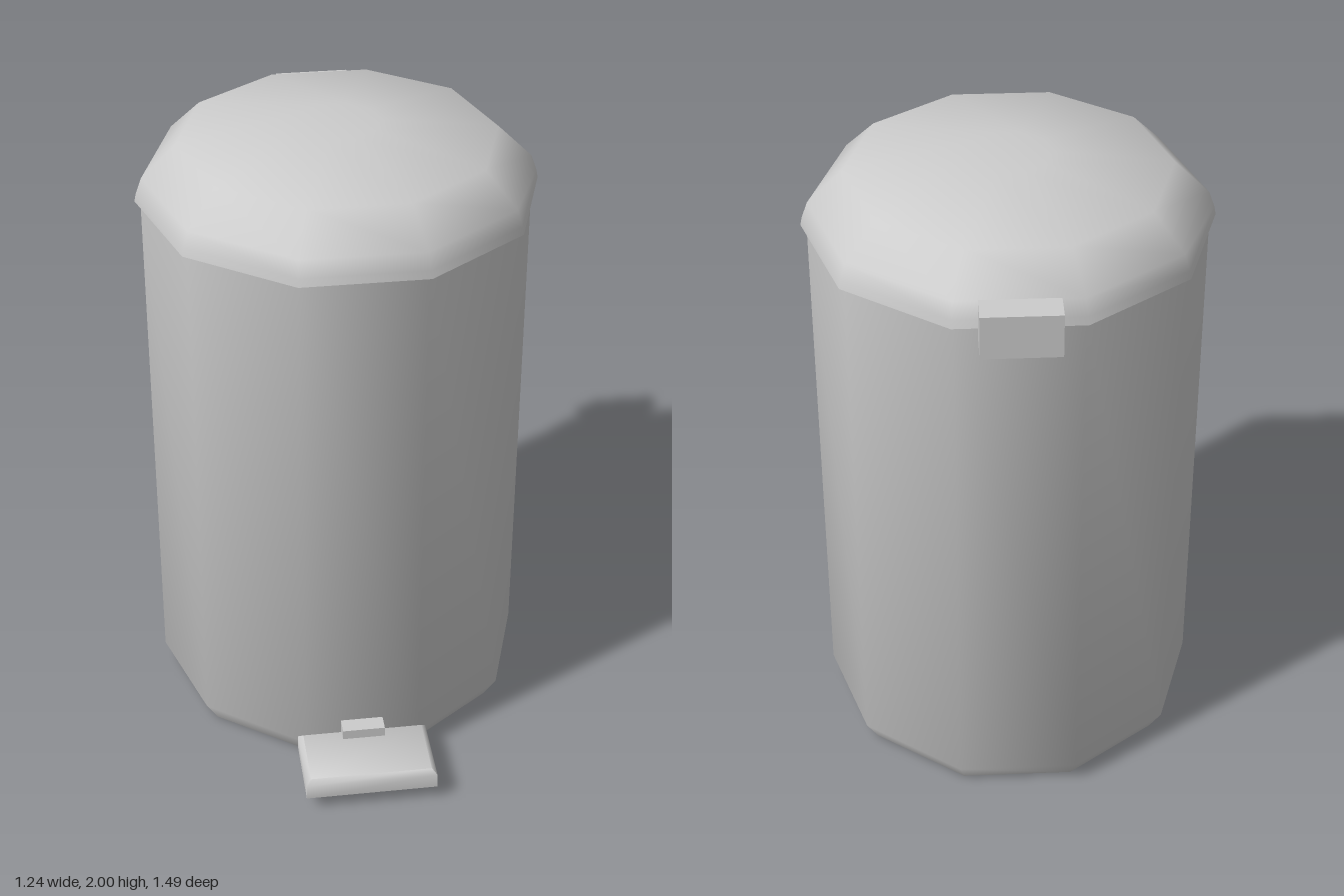
import * as THREE from 'three';
import { toCreasedNormals } from 'three/addons/utils/BufferGeometryUtils.js';

const SIDES = 10;
const AXIS_Z = -0.07; // the bin's axis sits a little behind the centre

export function createModel() {
  const model = new THREE.Group();
  model.name = 'pedalBin';
  const grey = new THREE.MeshStandardMaterial({ color: 0xcccccc });
  grey.name = 'light grey';

  function add(name, geometry, x, y, z) {
    const mesh = new THREE.Mesh(geometry, grey);
    mesh.name = name;
    mesh.position.set(x, y, z);
    model.add(mesh);
  }

  // Ten-sided turned shape with corners on the x axis
  function turned(profile) {
    const points = profile.map(([r, y]) => new THREE.Vector2(r, y));
    return toCreasedNormals(new THREE.LatheGeometry(points, SIDES, Math.PI / 2), 1.0);
  }

  // Body: flat base, chamfered foot, straight wall
  add('body', turned([[0, 0], [0.56, 0], [0.602, 0.07], [0.602, 1.78]]), 0, 0, AXIS_Z);

  // Lid: overhanging rim and shallow dome
  add('lid', turned([
    [0.58, 1.775], [0.62, 1.775], [0.615, 1.8], [0.597, 1.85],
    [0.49, 1.955], [0.13, 2], [0, 2],
  ]), 0, 0, AXIS_Z);

  // Hinge block at the back
  add('hinge', new THREE.BoxGeometry(0.232, 0.135, 0.09), 0, 1.797, -0.7);

  // Pedal: slab whose top edges are chamfered
  const w = 0.418, h = 0.065, d = 0.24, bevel = 0.016;
  const pedal = new THREE.BoxGeometry(w, h, d, 1, 2, 1);
  const p = pedal.attributes.position;
  for (let i = 0; i < p.count; i++) {
    const y = p.getY(i);
    if (y > 0.01) {
      p.setX(i, Math.sign(p.getX(i)) * (w / 2 - bevel));
      p.setZ(i, Math.sign(p.getZ(i)) * (d / 2 - bevel));
    } else if (y > -0.01) {
      p.setY(i, h / 2 - bevel);
    }
  }
  add('pedal', toCreasedNormals(pedal, 1.0), 0, 0.0825, 0.625);

  // Small tab linking the pedal to the body
  add('pedalTab', new THREE.BoxGeometry(0.136, 0.05, 0.07), 0, 0.123, 0.521);

  return model;
}
